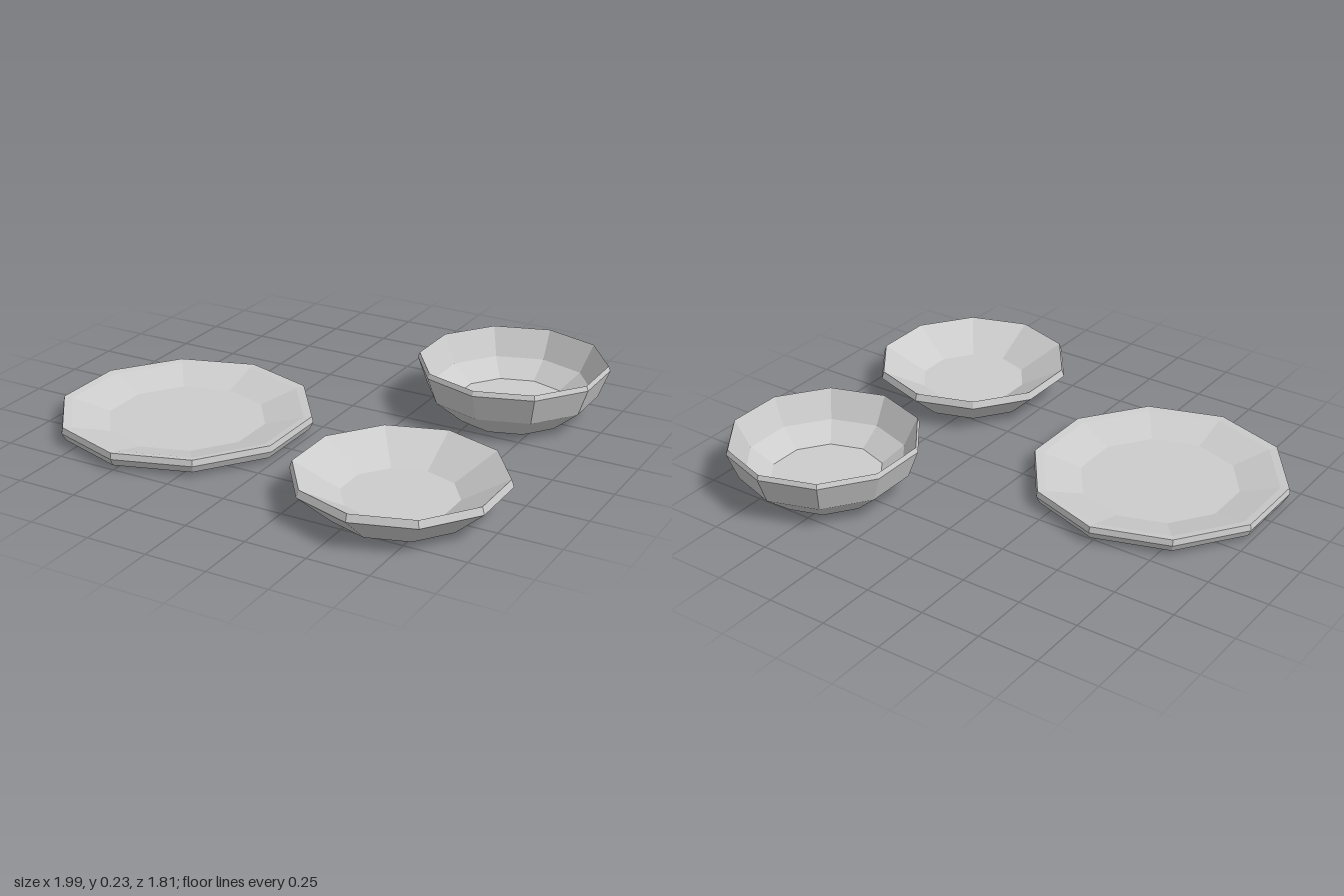
import * as THREE from 'three';

const SIDES = 10;

// Turns a closed [radius, height] profile (underside centre -> rim -> inner floor centre).
function dish(name, x, z, profile, material) {
  const points = profile.map(([r, y]) => new THREE.Vector2(r, y));
  const mesh = new THREE.Mesh(new THREE.LatheGeometry(points, SIDES), material);
  mesh.name = name;
  mesh.position.set(x, 0, z);
  return mesh;
}

export function createModel() {
  const group = new THREE.Group();
  group.name = 'tableware';
  const ceramic = new THREE.MeshStandardMaterial({ color: 0xcccccc, flatShading: true });

  // Wide flat plate with a narrow rim
  group.add(dish('plate', -0.5, 0.24, [
    [0, 0], [0.415, 0], [0.51, 0.02], [0.525, 0.05], [0.52, 0.075],
    [0.485, 0.07], [0.326, 0.025], [0, 0.025],
  ], ceramic));

  // Shallow bowl with straight flared walls
  group.add(dish('shallowBowl', 0.6, 0.485, [
    [0, 0], [0.28, 0], [0.415, 0.12], [0.405, 0.15],
    [0.225, 0.05], [0, 0.05],
  ], ceramic));

  // Deep bowl with a two-step wall
  group.add(dish('deepBowl', 0.6, -0.515, [
    [0, 0], [0.23, 0], [0.35, 0.1], [0.393, 0.215], [0.385, 0.235],
    [0.325, 0.12], [0.23, 0.055], [0, 0.055],
  ], ceramic));

  return group;
}
